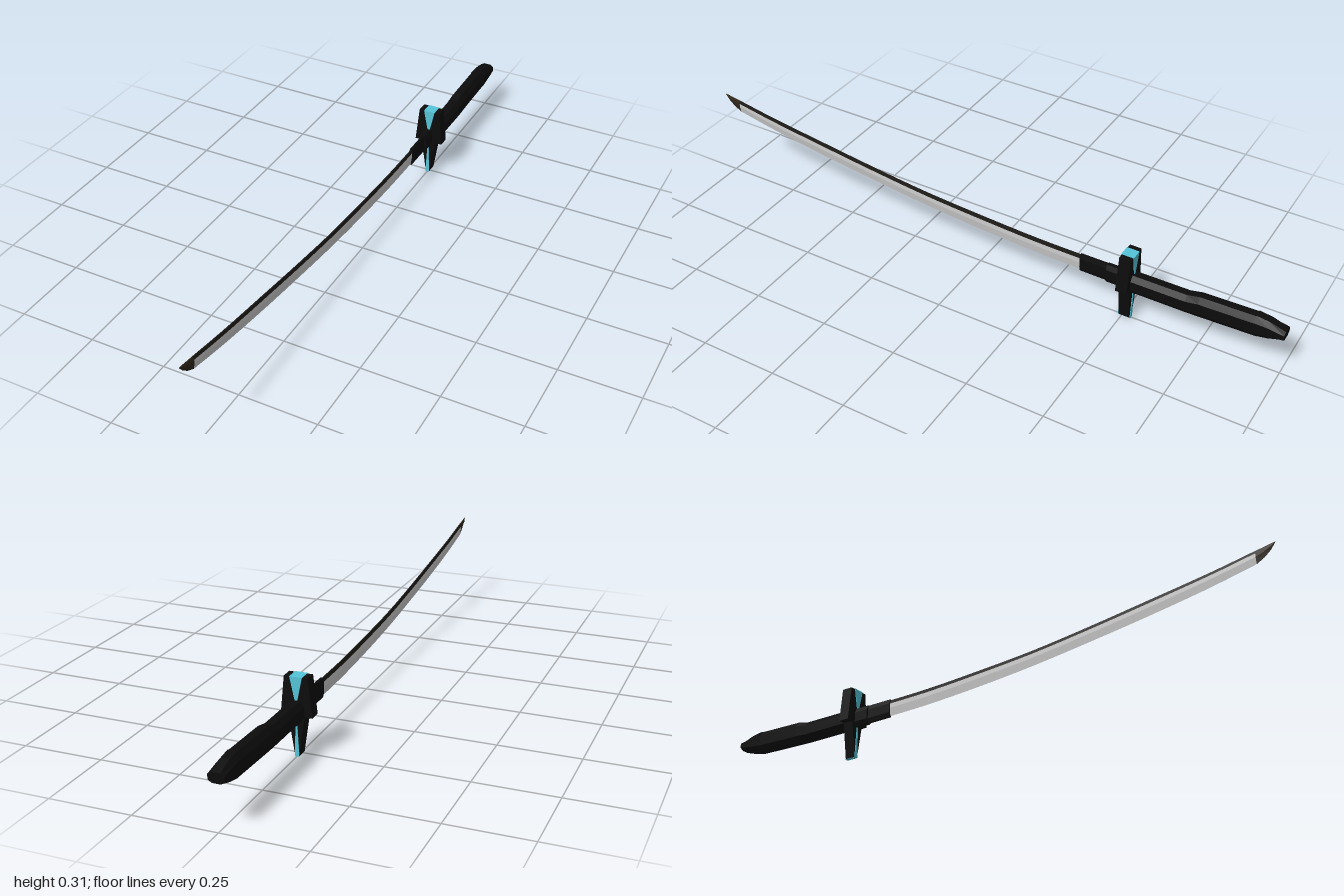
import * as THREE from 'three';

const mat = (color) => new THREE.MeshStandardMaterial({ color, flatShading: true, side: THREE.DoubleSide });
const steel = mat(0xcccccc);
const black = mat(0x0c0c0c);
const dark = mat(0x1c1a16);
const bronze = mat(0x2e2619);
const cyan = mat(0x55c4d8);

// Skin through closed rings (anticlockwise seen from +z, ordered towards +z), capped at both ends
function loft(name, rings, material) {
  const pos = [];
  const tri = (...pts) => pts.forEach((p) => pos.push(...p));
  const n = rings[0].length;
  for (let i = 0; i < rings.length - 1; i++) {
    for (let j = 0; j < n; j++) {
      const k = (j + 1) % n;
      const [a, b, c, d] = [rings[i][j], rings[i][k], rings[i + 1][k], rings[i + 1][j]];
      tri(a, b, c);
      tri(a, c, d);
    }
  }
  const first = rings[0], last = rings[rings.length - 1];
  for (let j = 1; j < n - 1; j++) {
    tri(first[0], first[j + 1], first[j]);
    tri(last[0], last[j], last[j + 1]);
  }
  const geo = new THREE.BufferGeometry();
  geo.setAttribute('position', new THREE.Float32BufferAttribute(pos, 3));
  geo.computeVertexNormals();
  const mesh = new THREE.Mesh(geo, material);
  mesh.name = name;
  return mesh;
}

// Upright bevelled section of half width w between heights lo and hi
function octagon(w, lo, hi, z) {
  const b = (hi - lo) * 0.25, t = w * 0.5;
  return [[w, lo + b, z], [w, hi - b, z], [t, hi, z], [-t, hi, z],
    [-w, hi - b, z], [-w, lo + b, z], [-t, lo, z], [t, lo, z]];
}

// Flat plate from the right half of an outline, mirrored in x
function plate(name, half, z0, z1, material) {
  const all = [...half, ...half.slice().reverse().map(([x, y]) => [-x, y])];
  const shape = new THREE.Shape(all.map(([x, y]) => new THREE.Vector2(x, y)));
  const geo = new THREE.ExtrudeGeometry(shape, { depth: z1 - z0, bevelEnabled: false });
  geo.translate(0, 0, z0);
  const mesh = new THREE.Mesh(geo, material);
  mesh.name = name;
  return mesh;
}

export function createModel() {
  const sword = new THREE.Group();
  sword.name = 'curvedSword';

  // Blade: [z, edge height, spine height], smoothly interpolated
  const keys = [[-0.37, 0.112, 0.168], [-0.2, 0.115, 0.17], [0, 0.126, 0.18], [0.2, 0.143, 0.194],
    [0.4, 0.167, 0.217], [0.6, 0.194, 0.244], [0.8, 0.226, 0.272], [0.94, 0.254, 0.296]];
  const curve = new THREE.CatmullRomCurve3(keys.map(([z, e, s]) => new THREE.Vector3(e, s, z)));
  const stations = curve.getPoints(28);
  const W = 0.0045;
  const shoulder = (e, s) => s - (s - e) * 0.22;
  sword.add(loft('blade', stations.map(({ x: e, y: s, z }) => {
    const h = shoulder(e, s), m = e + (s - e) * 0.5;
    return [[W, m, z], [W * 0.9, h, z], [-W * 0.9, h, z], [-W, m, z], [0, e, z]];
  }), steel));
  sword.add(loft('bladeSpine', stations.map(({ x: e, y: s, z }) => {
    const h = shoulder(e, s);
    return [[W * 0.9, h, z], [W * 0.4, s, z], [-W * 0.4, s, z], [-W * 0.9, h, z]];
  }), dark));

  // Point: edge sweeps up to the spine
  const tip = [[0.94, 0.254, 0.296, 1], [0.965, 0.268, 0.3, 0.9], [0.985, 0.285, 0.304, 0.7], [1, 0.305, 0.307, 0.1]];
  sword.add(loft('bladeTip', tip.map(([z, e, s, k]) => {
    const m = (e + s) / 2, h = shoulder(e, s), w = W * k;
    return [[w, m, z], [w * 0.9, h, z], [w * 0.4, s, z], [-w * 0.4, s, z], [-w * 0.9, h, z], [-w, m, z], [0, e, z]];
  }), bronze));

  // Stepped collar between blade and guard
  sword.add(loft('collar', [octagon(0.007, 0.109, 0.171, -0.45), octagon(0.007, 0.11, 0.171, -0.35)], black));
  sword.add(loft('collarBase', [octagon(0.013, 0.107, 0.171, -0.5), octagon(0.013, 0.107, 0.171, -0.44)], black));

  // Guard with cyan inlays running through it
  sword.add(plate('guard', [[0.006, 0], [0.025, 0.122], [0.048, 0.122], [0.036, 0.239]], -0.527, -0.49, black));
  sword.add(plate('upperInlay', [[0.004, 0.17], [0.019, 0.24]], -0.529, -0.488, cyan));
  sword.add(plate('lowerInlay', [[0.006, -0.0005], [0.0065, 0.01], [0.002, 0.106]], -0.529, -0.488, cyan));

  // Grip, slightly upswept, with a tapered pommel
  sword.add(loft('grip', [
    octagon(0.025, 0.113, 0.185, -0.92), octagon(0.025, 0.107, 0.18, -0.74),
    octagon(0.025, 0.106, 0.171, -0.7), octagon(0.025, 0.106, 0.17, -0.52),
  ], black));
  sword.add(loft('pommel', [
    octagon(0.024, 0.136, 0.166, -1), octagon(0.025, 0.12, 0.182, -0.95), octagon(0.026, 0.113, 0.187, -0.91),
  ], black));

  return sword;
}
